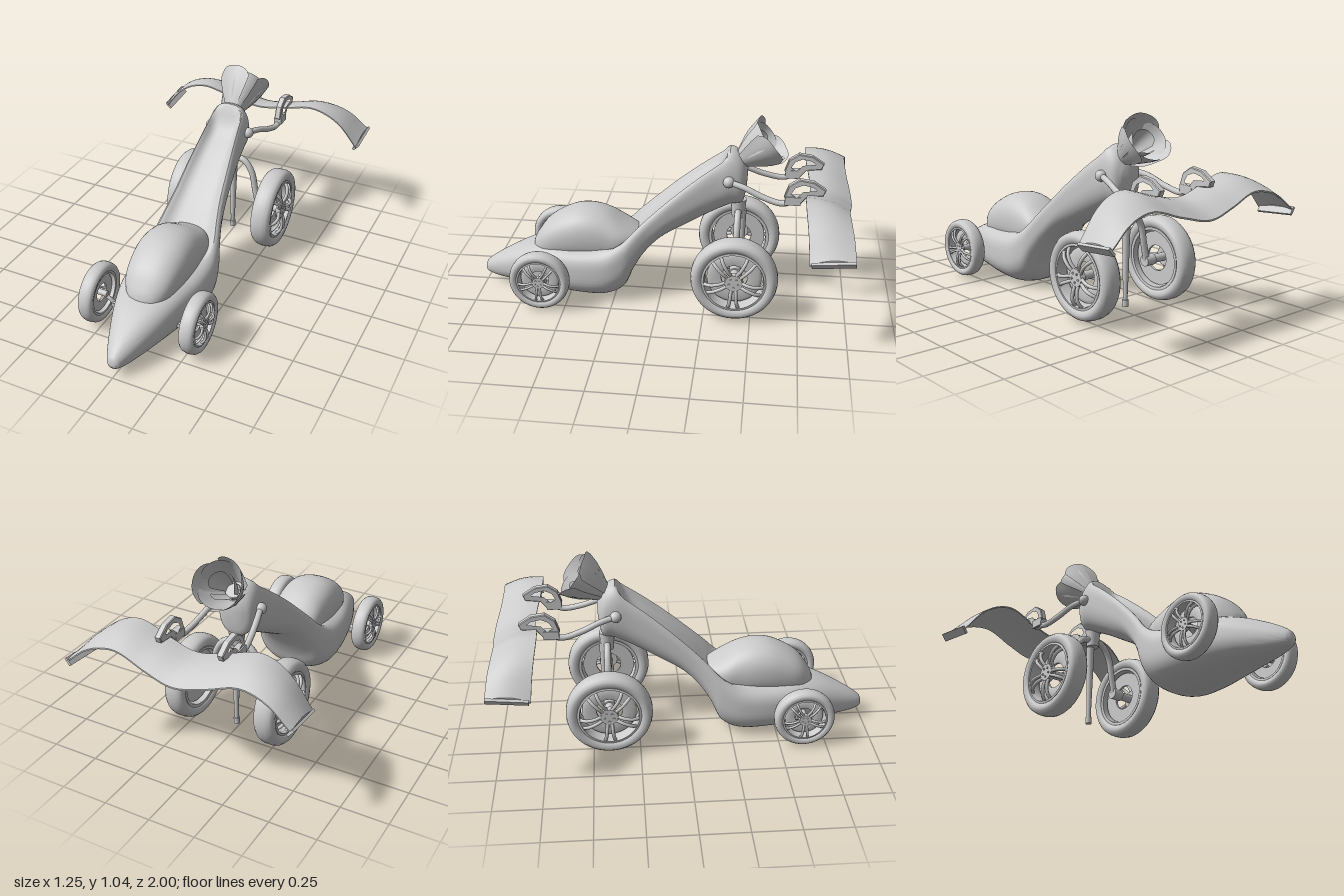
import * as THREE from 'three';
import { toCreasedNormals } from 'three/addons/utils/BufferGeometryUtils.js';

const mat = new THREE.MeshStandardMaterial({ color: 0xcccccc });
const thin = new THREE.MeshStandardMaterial({ color: 0xcccccc, side: THREE.DoubleSide });
const V = (x, y, z) => new THREE.Vector3(x, y, z);

function add(parent, name, geometry, x = 0, y = 0, z = 0, material = mat) {
  const mesh = new THREE.Mesh(geometry, material);
  mesh.name = name;
  mesh.position.set(x, y, z);
  parent.add(mesh);
  return mesh;
}

const tube = (pts, r, n = 24, sides = 10) =>
  new THREE.TubeGeometry(new THREE.CatmullRomCurve3(pts.map(p => V(...p))), n, r, sides);

// Skin over closed rings of equal length, counter-clockwise seen from the first end, capped at both ends
function skin(rings, crease) {
  const mid = r => r.reduce((a, p) => a.add(p), V(0, 0, 0)).divideScalar(r.length);
  const first = mid(rings[0]), last = mid(rings[rings.length - 1]);
  const all = [rings[0].map(() => first), ...rings, rings[0].map(() => last)];
  const n = rings[0].length, pos = [], idx = [];
  all.forEach((r, i) => r.forEach((p, j) => {
    pos.push(p.x, p.y, p.z);
    if (i + 1 === all.length) return;
    const a = i * n + j, b = i * n + (j + 1) % n;
    idx.push(a, a + n, b, b, a + n, b + n);
  }));
  const g = new THREE.BufferGeometry();
  g.setAttribute('position', new THREE.Float32BufferAttribute(pos, 3));
  g.setIndex(idx);
  return toCreasedNormals(g, crease);
}

// Loft of rounded sections: [topZ, topY, bottomZ, bottomY, halfWidth, roundness, troughFloor]
function loft(sections, steps = 4, n = 56) {
  const spline = new THREE.CubicInterpolant(sections.map((_, i) => i), sections.flat(), 7, []);
  const rings = [];
  for (let i = 0; i <= (sections.length - 1) * steps; i++) {
    const [zt, yt, zb, yb, w, e, floor] = spline.evaluate(i / steps);
    const ring = [];
    for (let j = 0; j < n; j++) {
      const a = j / n * Math.PI * 2, c = Math.cos(a), s = Math.sin(a);
      const u = Math.sign(c) * Math.abs(c) ** (s > 0 ? e : 0.85);
      let v = Math.sign(s) * Math.abs(s) ** (s > 0 ? e : 0.85);
      // hollow the top into a rounded channel
      if (Math.abs(u) < 0.82) v = Math.min(v, floor + Math.max(0.88 - floor, 0) * (Math.abs(u) / 0.82) ** 5);
      const k = (v + 1) / 2;
      ring.push(V(u * w, yb + (yt - yb) * k, zb + (zt - zb) * k));
    }
    rings.push(ring);
  }
  return skin(rings, 0.7);
}

// Wheel of radius 1 around the y axis, outer face at +y
function wheel(name, side, x, y, z, r) {
  const g = new THREE.Group();
  g.name = name;
  const lathe = p => toCreasedNormals(new THREE.LatheGeometry(p.map(q => new THREE.Vector2(...q)), 48), 1);
  add(g, 'tyre', lathe([[.73, -.19], [.78, -.23], [.85, -.25], [.92, -.235], [.975, -.17], [1, -.07], [1, .07],
    [.975, .17], [.92, .235], [.85, .25], [.78, .23], [.73, .19], [.73, -.19]]));
  add(g, 'rim', lathe([[.67, -.2], [.74, -.205], [.74, .205], [.69, .215], [.67, .15], [.67, -.2]]));
  add(g, 'hub', new THREE.CylinderGeometry(.2, .22, .12, 24), 0, .2);
  add(g, 'axleStub', new THREE.CylinderGeometry(.1, .1, .5, 16), 0, -.05);
  add(g, 'brakeRing', lathe([[.3, -.09], [.63, -.09], [.63, -.03], [.55, .02], [.3, -.03], [.3, -.09]]));
  for (let k = 0; k < 5; k++) {
    const arm = new THREE.Group();
    arm.name = 'spokePair';
    arm.rotation.y = k * Math.PI * 0.4 + (side < 0 ? Math.PI : 0);
    for (const s of [-1, 1])
      add(arm, 'spoke', tube([[.14, .2, s * .05], [.35, .27, s * .065], [.55, .25, s * .09], [.7, .14, s * .12]], .042, 12, 8));
    add(arm, 'bolt', new THREE.CylinderGeometry(.025, .025, .05, 8), .11, .26);
    g.add(arm);
  }
  g.scale.setScalar(r);
  g.rotation.z = -side * Math.PI / 2;
  g.position.set(x * side, y, z);
  return g;
}

// Curved petal cut from a flared cup, with a rounded tip
function petal(phi) {
  const pts = [[.04, 0], [.062, .04], [.092, .1], [.115, .155], [.13, .21]].map(p => new THREE.Vector2(...p));
  const g = new THREE.LatheGeometry(pts, 12, phi - .85, 1.7);
  const p = g.attributes.position;
  for (let i = 0; i < p.count; i++) {
    const u = Math.floor(i / pts.length) / 6 - 1, h = p.getY(i);
    p.setY(i, h - .04 * u ** 4 * (h / .21));
  }
  g.computeVertexNormals();
  return g;
}

// Gull-shaped wing as a thin cambered sheet with real thickness
function wingGeometry() {
  const line = new THREE.CubicInterpolant([-.61, -.5, -.35, -.17, 0, .17, .35, .5, .61],
    [.54, .675, .745, .705, .67, .705, .745, .675, .54], 1, []);
  const rings = [];
  for (let i = 0; i <= 40; i++) {
    const x = (i / 20 - 1) * .61, y = line.evaluate(x)[0], t = Math.abs(x) / .61;
    const wave = .014 * (1 - Math.cos(t * Math.PI * 1.8));
    const drop = .07 - .09 * t ** 4, ring = [];
    for (let j = 0; j < 18; j++) {
      const k = j < 9 ? j / 8 : (17 - j) / 8;
      const h = y - drop * k + .02 * Math.sin(k * Math.PI) - (j < 9 ? 0 : .008);
      ring.push(V(x, h, -.78 + wave - .22 * k));
    }
    rings.push(ring);
  }
  return skin(rings, 0.6);
}

// Flat closed hook that grips the wing
function clampGeometry() {
  const outer = [[.65, .69], [.67, .75], [.72, .785], [.79, .775], [.85, .735], [.84, .71], [.76, .7], [.72, .65], [.67, .65]];
  const inner = [[.68, .71], [.7, .745], [.74, .762], [.79, .752], [.81, .735], [.74, .725], [.71, .69]];
  const shape = new THREE.Shape(outer.map(p => new THREE.Vector2(...p)));
  shape.holes.push(new THREE.Path(inner.map(p => new THREE.Vector2(...p))));
  const g = new THREE.ExtrudeGeometry(shape, {
    depth: .026, bevelEnabled: true, bevelSize: .004, bevelThickness: .004, bevelSegments: 1 });
  return g.rotateY(Math.PI / 2).translate(-.013, 0, 0);
}

export function createModel() {
  const model = new THREE.Group();
  model.name = 'racer';

  // Hull sweeping up into a hollowed neck
  add(model, 'body', loft([
    [1.0, .1, 1.0, .075, .016, 1, 1],
    [.985, .132, .98, .056, .036, 1, 1],
    [.9, .19, .9, .04, .078, .9, 1],
    [.75, .262, .75, .032, .138, .75, 1],
    [.6, .298, .6, .023, .183, .6, 1],
    [.45, .302, .45, .01, .21, .55, 1],
    [.3, .325, .3, .01, .217, .55, .9],
    [.2, .385, .2, .055, .2, .5, .6],
    [.12, .465, .15, .16, .175, .5, .5],
    [.03, .55, .09, .26, .152, .5, .48],
    [-.08, .65, .0, .355, .136, .5, .46],
    [-.2, .755, -.14, .44, .12, .55, .46],
    [-.3, .835, -.27, .515, .108, .62, .5],
    [-.36, .878, -.37, .565, .104, .75, 1],
    [-.42, .845, -.43, .58, .09, .85, 1],
    [-.455, .78, -.45, .66, .05, 1, 1],
  ]));

  // Domed cockpit cover
  add(model, 'canopy', loft([
    [.71, .28, .71, .24, .03, 1, 1],
    [.69, .325, .69, .2, .075, .85, 1],
    [.62, .415, .62, .2, .127, .85, 1],
    [.5, .485, .5, .2, .15, .85, 1],
    [.4, .503, .4, .2, .155, .85, 1],
    [.3, .483, .3, .2, .15, .85, 1],
    [.2, .425, .2, .25, .14, .85, 1],
    [.1, .37, .1, .3, .08, .9, 1],
  ], 4, 40));

  // Flower-like exhaust on the neck tip
  const flower = new THREE.Group();
  flower.name = 'petalExhaust';
  flower.position.set(0, .81, -.41);
  flower.rotation.x = -.93;
  for (let k = 0; k < 6; k++) {
    const w = k % 2 ? .92 : 1.03;
    add(flower, 'outerPetal', petal(k * Math.PI / 3 - .4), 0, 0, 0, thin).scale.set(w, k % 2 ? .94 : 1.03, w);
    if (k % 2) add(flower, 'innerPetal', petal(k * Math.PI / 3), 0, .01, 0, thin).scale.set(.55, .8, .55);
  }
  add(flower, 'exhaustCore', new THREE.CylinderGeometry(.04, .045, .06, 20), 0, .01);
  model.add(flower);

  // Rear wing
  add(model, 'wing', wingGeometry());

  // Rear yoke and centre leg
  add(model, 'yoke', new THREE.CylinderGeometry(.042, .034, .1, 20), 0, .535, -.41);
  add(model, 'centreLeg', new THREE.CylinderGeometry(.024, .011, .47, 14), 0, .29, -.43);
  add(model, 'legFoot', new THREE.CylinderGeometry(.017, .017, .035, 14), 0, .055, -.43);

  for (const s of [-1, 1]) {
    // Wheels
    model.add(wheel('frontWheel', s, .286, .18, .625, .162));
    model.add(wheel('rearWheel', s, .262, .247, -.41, .228));

    // Axle arms
    add(model, 'frontArm', tube([[s * .14, .115, .615], [s * .2, .125, .615], [s * .235, .155, .62], [s * .285, .18, .625]], .011));
    add(model, 'frontArmMount', new THREE.BoxGeometry(.05, .025, .04), s * .185, .125, .615);
    add(model, 'rearFork', tube([[0, .52, -.41], [s * .07, .515, -.41], [s * .12, .45, -.41], [s * .145, .34, -.41], [s * .165, .25, -.41]], .018));
    add(model, 'rearHub', new THREE.CylinderGeometry(.03, .03, .06, 20), s * .18, .247, -.41).rotation.z = Math.PI / 2;

    // Wing struts, clamps and tip plates
    add(model, 'strutMount', new THREE.SphereGeometry(.03, 18, 12), s * .112, .725, -.36);
    add(model, 'wingStrut', tube([[s * .11, .725, -.36], [s * .135, .71, -.44], [s * .155, .67, -.54], [s * .17, .648, -.64], [s * .17, .67, -.7]], .016));
    add(model, 'clampBase', new THREE.BoxGeometry(.042, .045, .08), s * .172, .672, -.69);
    add(model, 'wingClamp', clampGeometry(), s * .17);
    add(model, 'wingTip', new THREE.BoxGeometry(.014, .045, .21), s * .606, .543, -.892).rotation.set(.09, 0, -s * .7);
  }
  return model;
}
